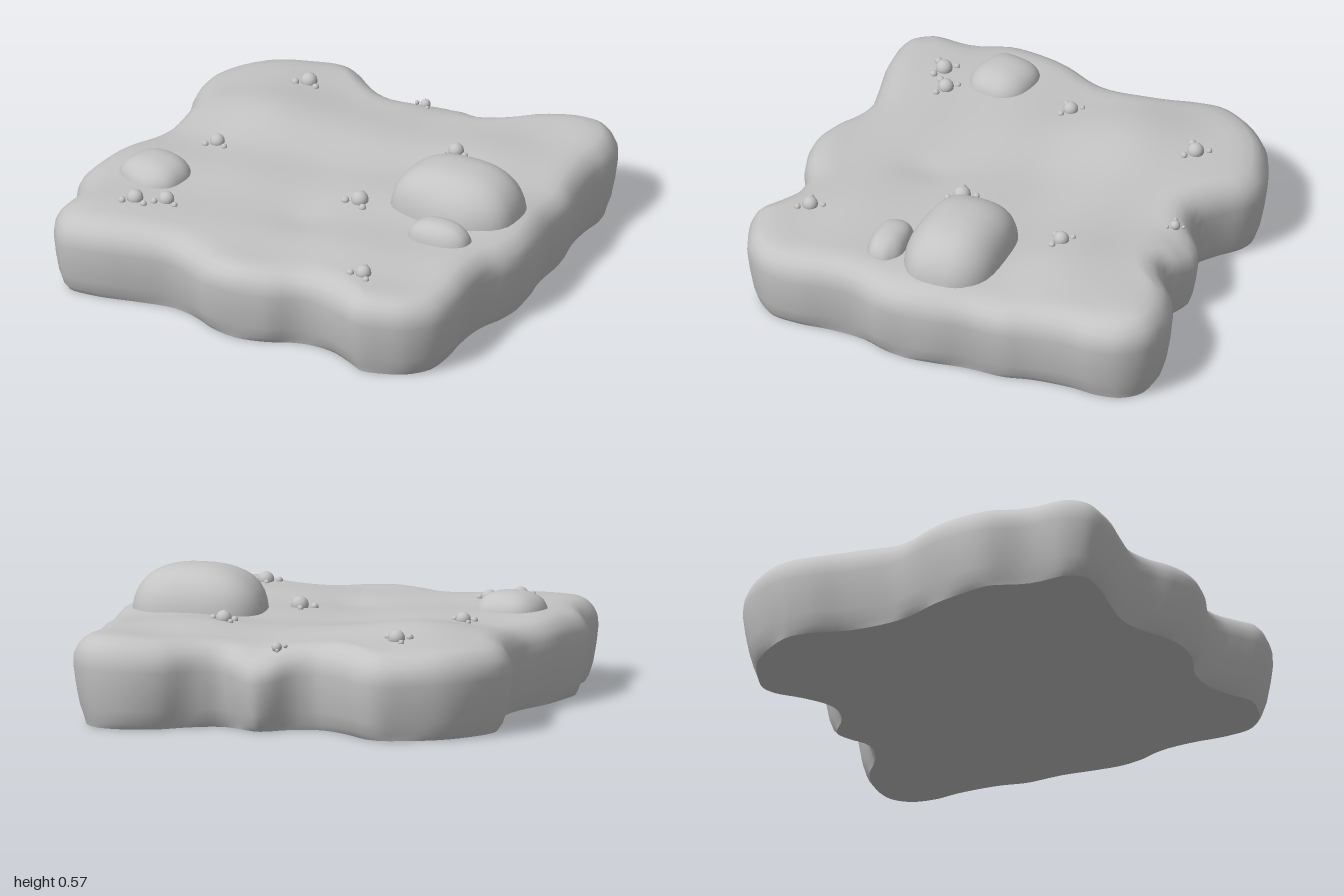
import * as THREE from 'three';
import { mergeVertices } from 'three/addons/utils/BufferGeometryUtils.js';

const stone = new THREE.MeshStandardMaterial({ color: 0xc4c4c4 });
stone.name = 'grey stone';

// Slab outline (x, z), starting at the back left corner
const outline = [
  -0.93, -0.55, -0.88, -0.67, -0.74, -0.83, -0.58, -0.91, -0.46, -0.94, -0.36, -0.91, -0.25, -0.82,
  -0.14, -0.76, -0.05, -0.78, 0.04, -0.85, 0.11, -0.87, 0.2, -0.84, 0.28, -0.8, 0.38, -0.84,
  0.5, -0.93, 0.68, -0.98, 0.82, -0.96, 0.91, -0.87, 0.94, -0.74, 0.93, -0.62, 0.94, -0.45,
  0.97, -0.32, 0.97, -0.15, 0.99, 0, 1, 0.13, 0.98, 0.25, 0.94, 0.36, 0.93, 0.5,
  0.94, 0.65, 0.92, 0.8, 0.83, 0.91, 0.72, 0.96, 0.6, 0.98, 0.5, 0.93, 0.4, 0.885,
  0.28, 0.885, 0.15, 0.94, 0, 0.97, -0.15, 0.94, -0.25, 0.89, -0.36, 0.86, -0.5, 0.88,
  -0.7, 0.92, -0.86, 0.91, -0.94, 0.8, -0.94, 0.63, -1, 0.46, -0.98, 0.3, -0.94, 0.14,
  -0.88, 0, -0.86, -0.1, -0.87, -0.28, -0.92, -0.43,
];

// Swells and dips of the top surface: x, z, radius, height
const swells = [
  [-0.45, -0.38, 0.3, 0.055], [0.5, -0.4, 0.3, 0.025], [0.75, -0.8, 0.22, 0.03],
  [0.1, -0.85, 0.12, -0.05], [0, 0.1, 0.3, -0.012], [-0.1, 0.65, 0.25, -0.015],
  [-0.6, 0.4, 0.25, 0.01], [0.7, 0.1, 0.3, 0.012], [0.05, 0.42, 0.1, -0.012],
];
function topHeight(x, z) {
  let h = 0.37 + 0.005 * Math.sin(z * 13 + x * 2) + 0.003 * Math.sin(x * 11 - z * 5);
  for (const [cx, cz, r, a] of swells) h += a * Math.exp(-((x - cx) ** 2 + (z - cz) ** 2) / (r * r));
  return h;
}

function slabGeometry() {
  const points = [];
  for (let i = 0; i < outline.length; i += 2) points.push(new THREE.Vector3(outline[i], 0, outline[i + 1]));
  const curve = new THREE.CatmullRomCurve3(points, true);
  const n = 212;
  const rim = [];
  for (let i = 0; i < n; i++) {
    const p = curve.getPoint(i / n), t = curve.getTangent(i / n);
    rim.push({ x: p.x, z: p.z, nx: t.z, nz: -t.x });
  }
  // Rings: inset from the rim, share of the top height, scale towards the centre
  const rings = [
    [0.06, 0, 1], [0.04, 0.07, 1], [0.022, 0.22, 1], [0.008, 0.45, 1], [0, 0.66, 1],
    [0.006, 0.78, 1], [0.022, 0.87, 1], [0.046, 0.94, 1], [0.075, 0.98, 1], [0.075, 1, 0.95],
  ];
  for (let s = 0.9; s > 0.01; s -= 0.06) rings.push([0.075, 1, s]);
  rings.push([0, 1, 0]);
  const pos = [], index = [];
  rings.forEach(([inset, share, scale], k) => {
    rim.forEach((p, i) => {
      // shallow hollows worn into the sides
      const wear = share > 0 && share < 0.7 ? 0.007 * (1 + Math.sin(i * 0.47 + 2 * Math.sin(i * 0.13))) * (1 - share) : 0;
      const x = (p.x - p.nx * (inset + wear)) * scale, z = (p.z - p.nz * (inset + wear)) * scale;
      pos.push(x, share * topHeight(x, z), z);
      if (k === rings.length - 1) return;
      const a = k * n + i, b = k * n + (i + 1) % n;
      index.push(a, a + n, b, b, a + n, b + n);
    });
  });
  const side = new THREE.BufferGeometry();
  side.setAttribute('position', new THREE.Float32BufferAttribute(pos, 3));
  side.setIndex(index);
  const top = mergeVertices(side);
  top.computeVertexNormals();

  // Flat underside
  const under = [0, 0, 0, ...pos.slice(0, n * 3)], fan = [];
  for (let i = 0; i < n; i++) fan.push(0, 1 + i, 1 + (i + 1) % n);
  const base = new THREE.BufferGeometry();
  base.setAttribute('position', new THREE.Float32BufferAttribute(under, 3));
  base.setIndex(fan);
  base.computeVertexNormals();
  return { top, base };
}

// Rounded boulder with a squarish, slightly lumpy form
function boulderGeometry(rx, ry, rz, power, seed) {
  let g = new THREE.SphereGeometry(1, 36, 24);
  g.deleteAttribute('uv');
  g.deleteAttribute('normal');
  g = mergeVertices(g);
  const p = g.attributes.position;
  const soft = (v) => Math.sign(v) * Math.abs(v) ** power;
  for (let i = 0; i < p.count; i++) {
    const x = p.getX(i), y = p.getY(i), z = p.getZ(i);
    const lump = 1 + 0.025 * Math.sin(4 * x + seed) * Math.cos(5 * z + seed) + 0.015 * Math.sin(6 * z + 3 * x);
    p.setXYZ(i, soft(x) * rx * lump, soft(y) * ry, soft(z) * rz * lump);
  }
  g.computeVertexNormals();
  return g;
}

export function createModel() {
  const model = new THREE.Group();
  model.name = 'rockPlatform';
  const add = (name, geometry, x = 0, y = 0, z = 0) => {
    const mesh = new THREE.Mesh(geometry, stone);
    mesh.name = name;
    mesh.position.set(x, y, z);
    model.add(mesh);
    return mesh;
  };

  const slab = slabGeometry();
  add('slab', slab.top);
  add('slabUnderside', slab.base);

  // Boulders
  add('largeBoulder', boulderGeometry(0.295, 0.24, 0.215, 0.8, 1), 0.605, 0.33, 0.015);
  add('smallBoulder', boulderGeometry(0.145, 0.115, 0.085, 0.8, 2), 0.67, 0.34, 0.315);
  add('leftBoulder', boulderGeometry(0.15, 0.115, 0.14, 0.82, 4), -0.68, 0.34, 0.365).rotation.y = -0.2;

  // Pebbles, each with smaller ones beside it
  const pebbles = [
    [-0.46, -0.62, 0.036], [0.04, -0.74, 0.022], [0.39, -0.36, 0.034], [-0.57, 0.01, 0.032],
    [0.21, 0.18, 0.038], [-0.64, 0.63, 0.036], [-0.52, 0.57, 0.034], [0.53, 0.75, 0.034],
  ];
  const ball = new THREE.SphereGeometry(1, 16, 12);
  const addPebble = (name, x, z, r) => add(name, ball, x, topHeight(x, z) + r * 0.25, z).scale.setScalar(r);
  pebbles.forEach(([x, z, r], i) => {
    addPebble('pebble', x, z, r);
    for (const [angle, size] of [[0.6, 0.42], [2.5, 0.45], [4.1, 0.35]]) {
      const a = angle + 0.3 * Math.sin(i * 2);
      addPebble('smallPebble', x + Math.cos(a) * r * 1.65, z + Math.sin(a) * r * 1.65, r * size);
    }
  });
  return model;
}
